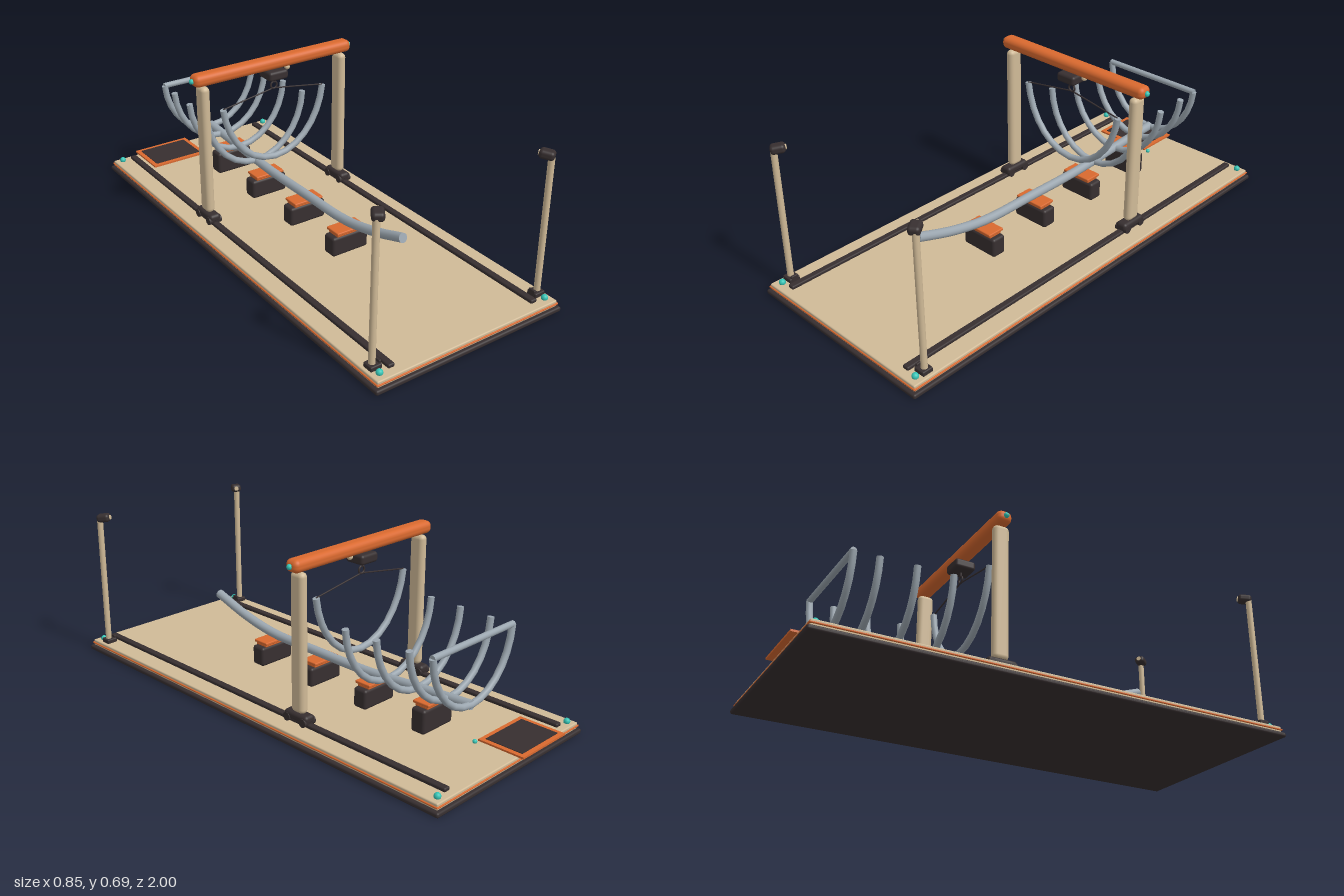
import * as THREE from 'three';
import { RoundedBoxGeometry } from 'three/addons/geometries/RoundedBoxGeometry.js';

const V = (x, y, z) => new THREE.Vector3(x, y, z);

export function createModel() {
  const model = new THREE.Group();
  model.name = 'boatyardModel';
  const mat = (name, color) => Object.assign(new THREE.MeshStandardMaterial({ color }), { name });
  const beige = mat('beige', 0xd0ba97);
  const dark = mat('charcoal', 0x372f30);
  const orange = mat('orange', 0xd9692f);
  const steel = mat('steel grey', 0x9ba6af);
  const teal = mat('teal', 0x35c4b5);

  const add = (name, geo, material, x = 0, y = 0, z = 0, parent = model) => {
    const m = new THREE.Mesh(geo, material);
    m.name = name;
    m.position.set(x, y, z);
    parent.add(m);
    return m;
  };
  const box = (name, material, w, h, d, x, y, z, r = 0, parent = model) =>
    add(name, r ? new RoundedBoxGeometry(w, h, d, 3, r) : new THREE.BoxGeometry(w, h, d), material, x, y, z, parent);
  const ball = (name, material, r, x, y, z) => add(name, new THREE.SphereGeometry(r, 16, 12), material, x, y, z);

  // Straight rod between two points
  const rod = (name, material, a, b, r) => {
    const m = add(name, new THREE.CylinderGeometry(r, r, a.distanceTo(b), 14), material);
    m.position.copy(a).add(b).multiplyScalar(0.5);
    m.quaternion.setFromUnitVectors(V(0, 1, 0), b.clone().sub(a).normalize());
    return m;
  };
  // Bent pipe with flat end caps
  const pipe = (name, points, r, segments) => {
    const g = new THREE.Group();
    g.name = name;
    model.add(g);
    const curve = new THREE.CatmullRomCurve3(points);
    add(name + 'Tube', new THREE.TubeGeometry(curve, segments, r, 14), steel, 0, 0, 0, g);
    for (const t of [0, 1]) {
      const cap = add(name + 'End', new THREE.CircleGeometry(r, 14), steel, 0, 0, 0, g);
      cap.position.copy(curve.getPoint(t));
      cap.quaternion.setFromUnitVectors(V(0, 0, 1), curve.getTangent(t).multiplyScalar(t ? 1 : -1));
    }
  };
  // U-shaped frame: part of an ellipse from tip to tip
  const rib = (name, z, halfWidth, bottom, top, sweep) => {
    const pts = [];
    for (let i = -7; i <= 7; i++) {
      const a = (i / 7) * sweep;
      pts.push(V(halfWidth * Math.sin(a) / Math.sin(sweep),
        bottom + (top - bottom) * (1 - Math.cos(a)) / (1 - Math.cos(sweep)), z));
    }
    pipe(name, pts, 0.0135, 14);
  };

  // Layered base
  box('basePlate', dark, 0.85, 0.02, 1.985, 0, 0.012, 0.003, 0.008);
  box('deck', beige, 0.825, 0.026, 1.96, 0, 0.035, 0.003, 0.005);
  box('deckTrim', orange, 0.834, 0.007, 1.968, 0, 0.034, 0.003, 0.003);
  for (const sx of [-1, 1]) for (const sz of [-1, 1])
    ball('cornerLight', teal, 0.013, sx * 0.38, 0.054, sz * 0.95);

  // Control panel on the rear edge
  box('panelFrame', orange, 0.26, 0.008, 0.195, -0.16, 0.051, -0.9025);
  box('panelFace', dark, 0.222, 0.004, 0.158, -0.16, 0.055, -0.9025);
  ball('panelLight', teal, 0.009, -0.01, 0.053, -0.805);

  for (const s of [-1, 1]) {
    // Gantry rail, shoe, wheels and column
    box('rail', dark, 0.028, 0.016, 1.9, s * 0.328, 0.056, 0, 0.006);
    box('gantryShoe', dark, 0.05, 0.034, 0.12, s * 0.328, 0.079, -0.25, 0.014);
    for (const dz of [-0.042, 0.042]) {
      const wheel = add('gantryWheel', new THREE.CylinderGeometry(0.017, 0.017, 0.056, 16), dark, s * 0.328, 0.069, -0.25 + dz);
      wheel.rotation.z = Math.PI / 2;
    }
    box('gantryColumn', beige, 0.038, 0.55, 0.065, s * 0.328, 0.368, -0.252, 0.018);
    ball('beamEndLight', teal, 0.011, s * 0.374, 0.67, -0.252);

    // Lamp post at the front corner
    const px = s * 0.381;
    box('postFoot', dark, 0.048, 0.02, 0.045, s * 0.377, 0.057, 0.91, 0.005);
    box('postFootTab', dark, 0.01, 0.028, 0.03, s * 0.357, 0.063, 0.91, 0.003);
    rod('lampPost', beige, V(px, 0.05, 0.91), V(px, 0.61, 0.91), 0.0125);
    const head = new THREE.Group();
    head.name = 'lampHead';
    head.position.set(s * 0.368, 0.616, 0.9);
    head.rotation.set(0.12, s * 0.6, 0, 'YXZ');
    model.add(head);
    box('lampHousing', dark, 0.044, 0.034, 0.056, 0, 0, 0, 0.013, head);
    const lens = add('lampLens', new THREE.CylinderGeometry(0.01, 0.01, 0.006, 16), beige, 0, 0, -0.028, head);
    lens.rotation.x = Math.PI / 2;

    // Sling cable
    rod('slingCable', dark, V(0, 0.559, -0.25), V(s * 0.24, 0.52, -0.25), 0.003);
  }

  // Gantry beam and hoist
  box('gantryBeam', orange, 0.745, 0.051, 0.063, 0, 0.67, -0.253, 0.022);
  box('hoistTrolley', dark, 0.09, 0.04, 0.088, 0, 0.624, -0.25, 0.012);
  ball('beamStop', beige, 0.012, 0.065, 0.637, -0.25);
  rod('hoistStem', dark, V(0, 0.584, -0.25), V(0, 0.61, -0.25), 0.004);
  add('hoistRing', new THREE.TorusGeometry(0.0145, 0.004, 10, 24), dark, 0, 0.572, -0.25);

  // Keel blocks with two-step pads
  for (const [z, top] of [[0.255, 0.151], [-0.035, 0.15], [-0.325, 0.15], [-0.613, 0.166]]) {
    const h = top - 0.02 - 0.048;
    box('keelBlock', dark, 0.168, h, 0.064, 0, 0.048 + h / 2, z, 0.012);
    box('lowerPad', orange, 0.125, 0.012, 0.06, 0, top - 0.016, z, 0.004);
    box('upperPad', orange, 0.135, 0.012, 0.075, 0, top - 0.005, z, 0.004);
  }

  // Keel, ribs, stern bar and the frame hanging from the hoist
  pipe('keel', [V(0, 0.26, 0.595), V(0, 0.205, 0.42), V(0, 0.172, 0.24), V(0, 0.168, 0),
    V(0, 0.167, -0.3), V(0, 0.182, -0.55), V(0, 0.195, -0.79)], 0.019, 28);
  rib('rib', -0.397, 0.24, 0.172, 0.44, 1.5);
  rib('rib', -0.542, 0.236, 0.18, 0.44, 1.5);
  rib('rib', -0.686, 0.23, 0.188, 0.44, 1.5);
  rib('sternRib', -0.785, 0.225, 0.194, 0.44, 1.5);
  rod('sternBar', steel, V(-0.228, 0.441, -0.785), V(0.228, 0.441, -0.785), 0.0125);
  rib('hangingRib', -0.25, 0.241, 0.252, 0.519, 1.42);

  return model;
}
